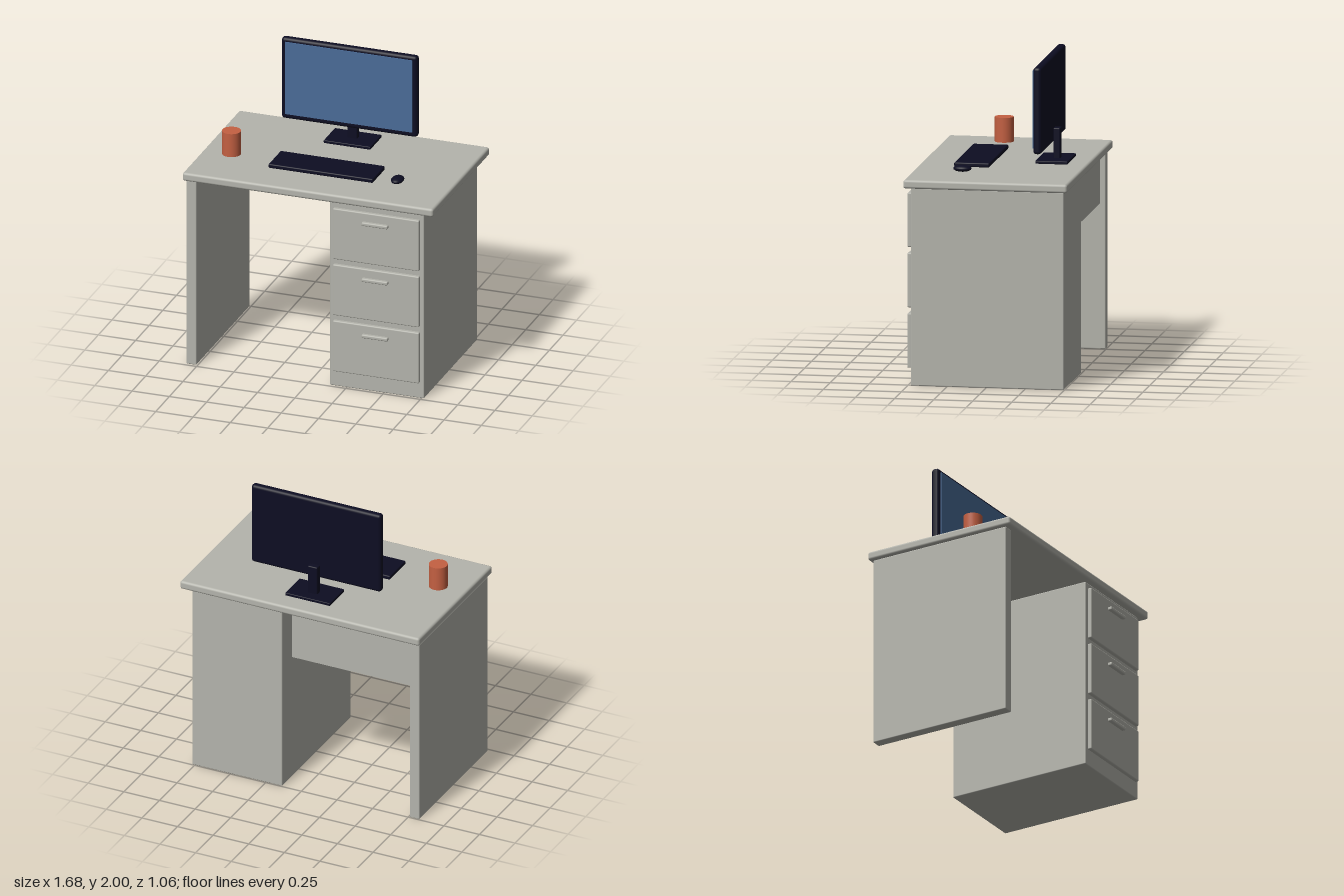
import * as THREE from 'three';
import { RoundedBoxGeometry } from 'three/addons/geometries/RoundedBoxGeometry.js';

const desk = new THREE.MeshStandardMaterial({ name: 'desk grey', color: 0xb4b4ac });
const dark = new THREE.MeshStandardMaterial({ name: 'dark plastic', color: 0x0d0d22 });
const glass = new THREE.MeshStandardMaterial({ name: 'screen blue', color: 0x4a6c98 });
const clay = new THREE.MeshStandardMaterial({ name: 'mug orange', color: 0xc46042 });

export function createModel() {
  const model = new THREE.Group();
  model.name = 'desk';

  const add = (name, geometry, material, x, y, z, parent = model) => {
    const mesh = new THREE.Mesh(geometry, material);
    mesh.name = name;
    mesh.position.set(x, y, z);
    parent.add(mesh);
    return mesh;
  };
  // Rounded box given by its lower and upper limits on each axis
  const box = (name, material, [x0, x1], [y0, y1], [z0, z1], radius, parent) =>
    add(name, new RoundedBoxGeometry(x1 - x0, y1 - y0, z1 - z0, 3, radius), material,
      (x0 + x1) / 2, (y0 + y1) / 2, (z0 + z1) / 2, parent);

  // Desk body
  box('desktop', desk, [-0.84, 0.84], [1.27, 1.326], [-0.53, 0.518], 0.016);
  box('sidePanel', desk, [-0.827, -0.758], [0, 1.265], [-0.497, 0.482], 0.007);
  box('pedestal', desk, [0.137, 0.768], [0, 1.265], [-0.497, 0.482], 0.007);
  add('modestyPanel', new THREE.BoxGeometry(0.85, 0.32, 0.03), desk, -0.34, 1.09, -0.445);

  // Three drawers with bar handles
  for (let i = 0; i < 3; i++) {
    const y = 1.055 - i * 0.386;
    const drawer = new THREE.Group();
    drawer.name = 'drawer' + (i + 1);
    box('drawerFront', desk, [0.165, 0.743], [y - 0.174, y + 0.174], [0.478, 0.508], 0.008, drawer);
    box('drawerHandle', desk, [0.366, 0.541], [y + 0.094, y + 0.118], [0.505, 0.534], 0.008, drawer);
    model.add(drawer);
  }

  // Monitor on its stand
  const monitor = new THREE.Group();
  monitor.name = 'monitor';
  box('monitorFrame', dark, [-0.455, 0.455], [1.445, 2], [-0.297, -0.245], 0.02, monitor);
  add('screen', new THREE.BoxGeometry(0.85, 0.495, 0.008), glass, 0, 1.728, -0.242, monitor);
  box('standPost', dark, [-0.034, 0.034], [1.34, 1.545], [-0.345, -0.3], 0.008, monitor);
  box('standBase', dark, [-0.157, 0.157], [1.334, 1.354], [-0.414, -0.207], 0.005, monitor);
  model.add(monitor);

  // Keyboard and mouse
  box('keyboard', dark, [-0.35, 0.35], [1.334, 1.362], [0.052, 0.278], 0.008);
  add('mouse', new THREE.SphereGeometry(1, 28, 18), dark, 0.488, 1.35, 0.2).scale.set(0.04, 0.021, 0.058);

  // Closed mug
  add('mug', new THREE.CylinderGeometry(0.06, 0.06, 0.158, 40), clay, -0.65, 1.408, 0.132);

  return model;
}
